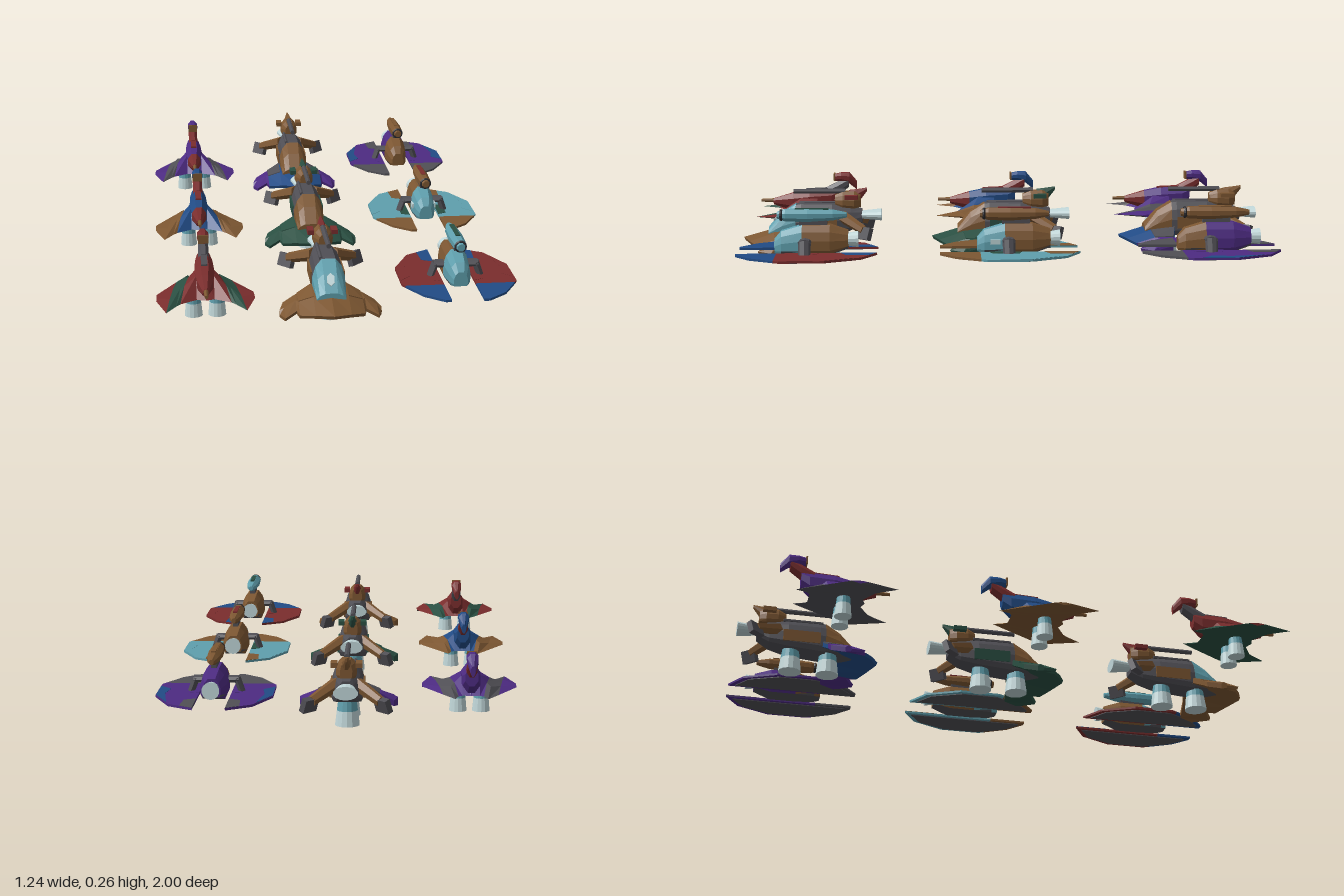
import * as THREE from 'three';

const mat = (name, color) => Object.assign(new THREE.MeshStandardMaterial({ color, flatShading: true }), { name });
const M = {
  red: mat('dark red', 0x7a2d2d), blue: mat('navy blue', 0x214b85), brown: mat('brown', 0x7d5732),
  teal: mat('pale teal', 0x5f9fad), green: mat('dark green', 0x2a4f42), purple: mat('purple', 0x4d2b82),
  gray: mat('gunmetal', 0x504f55), white: mat('engine white', 0xc0d6d8), dark: mat('barrel black', 0x2b2b30),
};

function add(parent, name, geo, material, x = 0, y = 0, z = 0) {
  const m = new THREE.Mesh(geo, material);
  m.name = name;
  m.position.set(x, y, z);
  parent.add(m);
  return m;
}

// Closed skin through equal-length loops of [x, y, z]; down-facing faces go to group 1
function loft(loops) {
  const tris = [], n = loops[0].length;
  for (let i = 0; i < loops.length - 1; i++) {
    for (let j = 0; j < n; j++) {
      const k = (j + 1) % n, a = loops[i], b = loops[i + 1];
      tris.push([a[j], a[k], b[k]], [a[j], b[k], b[j]]);
    }
  }
  const first = loops[0], last = loops[loops.length - 1];
  for (let j = 1; j < n - 1; j++) {
    tris.push([first[0], first[j + 1], first[j]], [last[0], last[j], last[j + 1]]);
  }
  const V = (p) => new THREE.Vector3(...p);
  let volume = 0;
  for (const [a, b, c] of tris) volume += V(a).dot(V(b).cross(V(c)));
  const up = [], down = [];
  for (const t of tris) {
    const [a, b, c] = volume < 0 ? [t[0], t[2], t[1]] : t;
    const normal = V(b).sub(V(a)).cross(V(c).sub(V(a))).normalize();
    (normal.y < -0.4 ? down : up).push(...a, ...b, ...c);
  }
  const g = new THREE.BufferGeometry();
  g.setAttribute('position', new THREE.Float32BufferAttribute([...up, ...down], 3));
  g.addGroup(0, up.length / 3, 0);
  g.addGroup(up.length / 3, down.length / 3, 1);
  g.computeVertexNormals();
  return g;
}

// Half outlines from bottom to top: [share of half width, share of height]
const ROUND = [[0.4, 0], [1, 0.3], [1, 0.7], [0.4, 1]];
const ARCH = [[0.85, 0], [1, 0.15], [1, 0.48], [0.8, 0.78], [0.42, 1]];

// Faceted hull along z from rows of [z, half width, bottom, top]
function hull(parent, name, rows, material, profile = ROUND, under = material) {
  const outline = [...profile, ...profile.map(([u, v]) => [-u, v]).reverse()];
  const loops = rows.map(([z, w, y0, y1]) => outline.map(([u, v]) => [u * w, y0 + v * (y1 - y0), z]));
  return add(parent, name, loft(loops), [material, under]);
}

// Flat plate from an outline of [x, z]
function plate(points, h) {
  const s = new THREE.Shape(points.map(([x, z]) => new THREE.Vector2(x, -z)));
  return new THREE.ExtrudeGeometry(s, { depth: h, bevelEnabled: false }).rotateX(-Math.PI / 2);
}

// Strut between two points
function strut(parent, name, a, b, r0, r1, material, sides = 8) {
  const A = new THREE.Vector3(...a), B = new THREE.Vector3(...b), d = B.clone().sub(A);
  const m = add(parent, name, new THREE.CylinderGeometry(r1, r0, d.length(), sides), material);
  m.position.copy(A).add(B).multiplyScalar(0.5);
  m.quaternion.setFromUnitVectors(new THREE.Vector3(0, 1, 0), d.normalize());
  return m;
}

// Downward thruster with a tinted collar
function thruster(parent, x, z, top, bottom, r0, r1) {
  const mid = bottom + (top - bottom) * 0.52, rm = (r0 + r1) / 2;
  strut(parent, 'thrusterCollar', [x, top, z], [x, mid, z], r0, rm, M.teal, 14);
  strut(parent, 'thrusterBell', [x, mid, z], [x, bottom, z], rm, r1, M.white, 14);
}

// Swept-wing craft with a raised tail
function rayCraft(c) {
  const g = new THREE.Group();
  g.name = 'rayCraft';
  // Wing stations: [rear x, front x, rear z, front z, top]
  const rows = [[0, 0, -0.05, 0.15, 0.175], [0.03, 0.03, -0.05, 0.14, 0.16], [0.043, 0.085, -0.06, 0.175, 0.132],
    [0.055, 0.1, -0.1, 0.195, 0.124], [0.095, 0.133, -0.035, 0.25, 0.111], [0.163, 0.165, 0.08, 0.14, 0.103]];
  const section = (s) => ([xr, xf, zb, zf, y]) => {
    const at = (t, h) => [s * (xr + (xf - xr) * t), h, zb + (zf - zb) * t];
    return [at(0, 0.1), at(0.3, y), at(0.65, y), at(1, 0.1), at(0.5, 0.092)];
  };
  const bands = [['wingRoot', 0, 3, c.inner], ['wingMiddle', 2, 5, c.middle], ['wingTip', 4, 6, c.tip]];
  for (const s of [-1, 1]) {
    for (const [name, from, to, material] of bands) {
      add(g, name, loft(rows.slice(from, to).map(section(s))), [material, c.middle]);
    }
    thruster(g, 0.04 * s, 0.07, 0.11, 0.02, 0.022, 0.031);
  }
  hull(g, 'nose', [[0.19, 0.01, 0.13, 0.155], [0.11, 0.027, 0.105, 0.178]], M.red);
  hull(g, 'fuselage', [[0.11, 0.027, 0.105, 0.178], [0.04, 0.034, 0.1, 0.192], [-0.05, 0.03, 0.11, 0.195], [-0.08, 0.022, 0.14, 0.2]], c.inner);
  add(g, 'spineStripe', new THREE.BoxGeometry(0.022, 0.006, 0.11), c.spine, 0, 0.194, 0).rotation.x = 0.04;
  hull(g, 'tailNeck', [[-0.03, 0.018, 0.15, 0.2], [-0.08, 0.018, 0.17, 0.226], [-0.12, 0.017, 0.2, 0.245]], c.neck);
  hull(g, 'tailHead', [[-0.065, 0.017, 0.226, 0.256], [-0.09, 0.02, 0.226, 0.261], [-0.125, 0.019, 0.215, 0.261],
    [-0.155, 0.008, 0.19, 0.225]], c.head);
  add(g, 'headPlate', new THREE.BoxGeometry(0.036, 0.03, 0.006), M.brown, 0, 0.243, -0.063);
  strut(g, 'noseGun', [0, 0.147, 0.17], [0, 0.147, 0.24], 0.009, 0.006, M.brown);
  return g;
}

// Broad-headed gunship with a dorsal turret
function hammerCraft(c) {
  const g = new THREE.Group();
  g.name = 'hammerCraft';
  const half = [[0, 0.03, 0.265, 0.118, 0.072], [0.06, 0.05, 0.237, 0.108, 0.066], [0.11, 0.062, 0.205, 0.08, 0.056],
    [0.118, 0.063, 0.168, 0.076, 0.058], [0.158, 0.068, 0.196, 0.052, 0.044], [0.173, 0.12, 0.145, 0.043, 0.038]];
  const section = ([x, zb, zf, yb, yf]) => [[x, yb, zb], [x, (yb + yf) / 2 + 0.01, (zb + zf) / 2], [x, yf, zf],
    [x, yf - 0.012, zf - 0.005], [x, yb - 0.02, zb]];
  const mirror = (rows, s) => rows.map(([x, ...r]) => [x * s, ...r]);
  const centre = [...mirror(half.slice(1, 3), -1).reverse(), ...half.slice(0, 3)];
  add(g, 'headShield', loft(centre.map(section)), [c.head, c.head]);
  // Rear corner panel of the shield, a thin raised skin
  const panel = ([x, zb, zf, yb, yf]) => [[x, yb + 0.003, zb], [x, (yb + yf) / 2 + 0.013, (zb + zf) / 2],
    [x, (yb + yf) / 2 + 0.007, (zb + zf) / 2], [x, yb - 0.003, zb]];
  for (const s of [-1, 1]) {
    add(g, 'shieldTip', loft(mirror(half.slice(2), s).map(section)), [c.tip, c.tip]);
    add(g, 'shieldPanel', loft(mirror(half.slice(1, 3), s).map(panel)), c.panel);
    add(g, 'sideArmor', new THREE.BoxGeometry(0.008, 0.045, 0.14), c.side, 0.055 * s, 0.125, -0.03);
    strut(g, 'rearArm', [0.035 * s, 0.155, -0.12], [0.115 * s, 0.115, -0.205], 0.024, 0.018, M.brown, 6);
    const fin = add(g, 'armFin', new THREE.BoxGeometry(0.022, 0.048, 0.06), M.gray, 0.122 * s, 0.104, -0.208);
    fin.rotation.set(0, -0.75 * s, 0.35 * s);
    add(g, 'turretPod', new THREE.BoxGeometry(0.022, 0.016, 0.05), c.fin, 0.042 * s, 0.231, -0.155);
  }
  hull(g, 'fuselage', [[0.06, 0.056, 0.075, 0.2], [0.04, 0.057, 0.075, 0.203], [-0.08, 0.056, 0.085, 0.2],
    [-0.15, 0.042, 0.1, 0.19], [-0.195, 0.03, 0.125, 0.18]], M.gray, ARCH);
  hull(g, 'canopy', [[0.165, 0.05, 0.075, 0.115], [0.115, 0.053, 0.078, 0.168], [0.06, 0.056, 0.08, 0.202]], c.canopy, ARCH, M.gray);
  if (c.window) {
    const glass = add(g, 'canopyWindow', new THREE.CylinderGeometry(0.024, 0.024, 0.008, 6), c.window, 0, 0.152, 0.132);
    glass.rotation.x = 0.81;
    glass.scale.x = 0.6;
  }
  hull(g, 'turret', [[-0.09, 0.018, 0.2, 0.235], [-0.12, 0.034, 0.19, 0.248], [-0.165, 0.034, 0.185, 0.25],
    [-0.19, 0.02, 0.19, 0.245]], M.brown, ARCH);
  hull(g, 'turretFin', [[-0.145, 0.018, 0.215, 0.253], [-0.18, 0.016, 0.205, 0.257], [-0.215, 0.004, 0.25, 0.263]], c.fin);
  strut(g, 'turretBarrel', [0, 0.25, -0.13], [0, 0.25, 0.07], 0.01, 0.009, M.gray);
  strut(g, 'spineConduit', [-0.025, 0.2, -0.1], [-0.025, 0.2, 0.05], 0.007, 0.007, M.gray, 6);
  strut(g, 'rearEngine', [0, 0.157, -0.18], [0, 0.157, -0.27], 0.026, 0.042, M.white, 14).scale.z = 0.55;
  for (const z of [0.075, -0.065]) thruster(g, 0, z, 0.1, 0, 0.03, 0.043);
  return g;
}

// Twin-plate craft with a gun pod over the hull
function plateCraft(c) {
  const g = new THREE.Group();
  g.name = 'plateCraft';
  const outline = [[0.055, -0.27], [0.14, -0.217], [0.2, -0.09], [0.2, 0.07], [0.14, 0.18], [0.075, 0.235], [0.055, 0.235]];
  const regions = [
    ['wingMiddle', [[0.055, -0.27], [0.14, -0.217], [0.2, -0.09], [0.2, 0.07], [0.19, 0.09], [0.055, 0.09]], c.main, 0.097, 0.008],
    ['wingFront', [[0.055, 0.09], [0.19, 0.09], [0.14, 0.18], [0.075, 0.235], [0.055, 0.235]], c.end, 0.097, 0.008],
    ['wingRearStrip', [[0.055, -0.268], [0.1, -0.24], [0.095, -0.16], [0.055, -0.14]], c.end, 0.1, 0.006],
    ['wingOuterPatch', [[0.15, -0.19], [0.199, -0.088], [0.199, 0.04], [0.16, 0.0], [0.17, -0.07]], c.patch, 0.1, 0.006],
    ['wingPad', [[0.056, -0.06], [0.088, -0.05], [0.088, 0.045], [0.056, 0.06]], c.pad, 0.1, 0.006],
    ['wingUnderside', outline.map(([x, z]) => [0.125 + (x - 0.125) * 0.82, z * 0.9]), M.gray, 0.094, 0.004],
  ];
  for (const s of [-1, 1]) {
    for (const [name, pts, material, y, h] of regions) add(g, name, plate(pts.map(([x, z]) => [x * s, z]), h), material, 0, y);
    strut(g, 'strutArm', [0.03 * s, 0.145, -0.012], [0.077 * s, 0.145, -0.012], 0.013, 0.013, M.gray).scale.z = 1.8;
    strut(g, 'strutLeg', [0.07 * s, 0.15, -0.012], [0.088 * s, 0.1, -0.012], 0.013, 0.012, M.gray).scale.z = 1.8;
    if (c.window) add(g, 'sideWindow', new THREE.BoxGeometry(0.006, 0.018, 0.035), c.window, 0.043 * s, 0.138, 0.035);
  }
  hull(g, 'fuselageFront', [[0.1, 0.024, 0.1, 0.15], [0.075, 0.037, 0.096, 0.178], [0, 0.045, 0.095, 0.2]], c.front, ARCH, M.gray);
  hull(g, 'fuselageRear', [[0, 0.045, 0.095, 0.2], [-0.1, 0.045, 0.095, 0.2], [-0.165, 0.03, 0.115, 0.178]], c.rear, ARCH, M.gray);
  hull(g, 'gunPod', [[0.09, 0.012, 0.223, 0.247], [0.06, 0.021, 0.213, 0.256], [-0.02, 0.024, 0.21, 0.257], [-0.11, 0.02, 0.215, 0.253],
    [-0.16, 0.008, 0.225, 0.243]], c.pod);
  add(g, 'podStripe', new THREE.BoxGeometry(0.016, 0.006, 0.12), c.stripe, 0, 0.256, -0.035);
  add(g, 'podMount', new THREE.BoxGeometry(0.02, 0.03, 0.1), M.gray, 0, 0.205, -0.04);
  add(g, 'gunMuzzle', new THREE.TorusGeometry(0.016, 0.006, 6, 14), M.dark, 0, 0.235, 0.075);
  strut(g, 'rearEngine', [0, 0.145, -0.15], [0, 0.145, -0.2], 0.022, 0.03, M.white, 14);
  return g;
}

export function createModel() {
  const model = new THREE.Group();
  model.name = 'fleet';
  const { red, blue, brown, teal, green, purple, gray, white } = M;
  const squads = [
    [-0.73, { inner: purple, middle: gray, tip: purple, spine: red, neck: red, head: purple },
      { head: blue, tip: purple, panel: gray, canopy: brown, side: brown, fin: brown },
      { main: purple, end: gray, patch: blue, pad: purple, front: brown, rear: purple, pod: brown, stripe: brown }],
    [0, { inner: blue, middle: brown, tip: brown, spine: red, neck: red, head: blue },
      { head: green, tip: green, panel: green, canopy: brown, side: green, fin: green },
      { main: teal, end: brown, patch: teal, pad: green, front: teal, rear: brown, pod: brown, stripe: red, window: white }],
    [0.73, { inner: red, middle: green, tip: red, spine: gray, neck: gray, head: red },
      { head: brown, tip: brown, panel: brown, canopy: teal, side: brown, fin: red, window: white },
      { main: red, end: blue, patch: red, pad: red, front: teal, rear: brown, pod: teal, stripe: green }],
  ];
  for (const [z, ray, hammer, twin] of squads) {
    for (const [craft, x] of [[rayCraft(ray), -0.455], [hammerCraft(hammer), -0.034], [plateCraft(twin), 0.417]]) {
      craft.position.set(x, 0, z);
      model.add(craft);
    }
  }
  return model;
}
